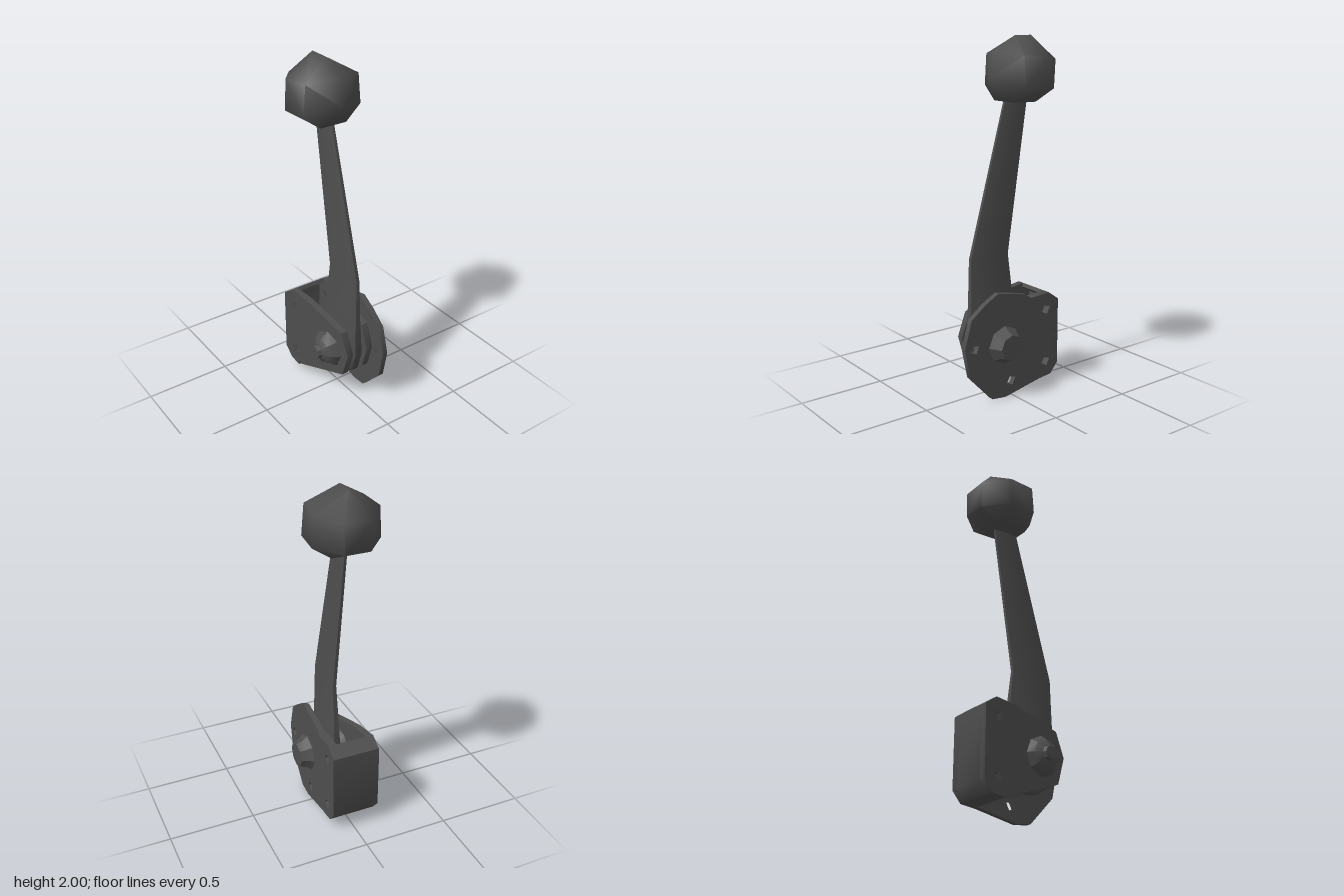
import * as THREE from 'three';
import { toCreasedNormals } from 'three/addons/utils/BufferGeometryUtils.js';
import { ConvexGeometry } from 'three/addons/geometries/ConvexGeometry.js';

const PIVOT = [0.055, 0.315];

export function createModel() {
  const group = new THREE.Group();
  const darkGrey = new THREE.MeshStandardMaterial({ color: 0x4e4e4e });
  darkGrey.name = 'darkGrey';

  const add = (name, geometry, crease = 0.7) => {
    const mesh = new THREE.Mesh(toCreasedNormals(geometry, crease), darkGrey);
    mesh.name = name;
    group.add(mesh);
    return mesh;
  };

  // Extruded plate with small square bolt holes; zAt(x) gives its rear face
  const plate = (name, outline, holes, depth, zAt) => {
    const shape = new THREE.Shape(outline.map(p => new THREE.Vector2(...p)));
    for (const [x, y] of holes) {
      const corners = [[-0.03, 0.015], [0.01, 0.025], [0.03, -0.01], [-0.01, -0.028]];
      shape.holes.push(new THREE.Path(corners.map(([a, b]) => new THREE.Vector2(x + a, y + b))));
    }
    const geometry = new THREE.ExtrudeGeometry(shape, { depth, bevelEnabled: false });
    const pos = geometry.attributes.position;
    for (let i = 0; i < pos.count; i++) pos.setZ(i, pos.getZ(i) + zAt(pos.getX(i)));
    return add(name, geometry);
  };

  // Faceted knob
  const knobPoints = [[-0.22, 2, 0], [-0.11, 2, 0], [0.03, 1.92, 0], [0.07, 1.77, 0]];
  for (const s of [1, -1]) {
    knobPoints.push(
      [-0.33, 1.87, 0.08 * s], [-0.2, 1.89, 0.18 * s], [-0.04, 1.9, 0.165 * s],
      [-0.33, 1.71, 0.07 * s], [-0.2, 1.72, 0.19 * s], [-0.04, 1.73, 0.18 * s],
      [-0.19, 1.645, 0.08 * s], [-0.03, 1.65, 0.08 * s]);
  }
  add('knob', new ConvexGeometry(knobPoints.map(p => new THREE.Vector3(...p))), 1.2);

  // Lever arm lofted through stations: y, left x, right x, half thickness
  const stations = [
    [0.14, 0.01, 0.1, 0.025], [0.19, -0.05, 0.18, 0.04], [0.32, -0.1, 0.215, 0.045],
    [0.55, -0.085, 0.205, 0.03], [0.8, -0.055, 0.2, 0.02], [1.67, -0.19, -0.04, 0.014],
  ];
  const rings = stations.map(([y, l, r, t]) => {
    const a = l + (r - l) * 0.22, b = r - (r - l) * 0.22;
    return [[l, t / 2], [a, t], [b, t], [r, t / 2], [r, -t / 2], [b, -t], [a, -t], [l, -t / 2]]
      .map(([x, z]) => [x, y, z]);
  });
  const verts = rings.flat(2), index = [], n = 8, last = (rings.length - 1) * n;
  for (let i = 0; i < rings.length - 1; i++) {
    for (let j = 0; j < n; j++) {
      const a = i * n + j, b = i * n + (j + 1) % n;
      index.push(a, b, b + n, a, b + n, a + n);
    }
  }
  for (let j = 1; j < n - 1; j++) {
    index.push(0, j + 1, j, last, last + j, last + j + 1);
  }
  const arm = new THREE.BufferGeometry();
  arm.setAttribute('position', new THREE.Float32BufferAttribute(verts, 3));
  arm.setIndex(index);
  add('leverArm', arm, 0.9);

  // Bracket cheeks, leaning towards the arm at the pivot end
  const cheek = [[-0.33, 0.12], [-0.28, 0.06], [-0.2, 0.05], [0.18, 0.19], [0.225, 0.34],
    [0.17, 0.475], [-0.13, 0.55], [-0.26, 0.56], [-0.33, 0.51]];
  const sideHoles = [[-0.24, 0.46], [-0.24, 0.145]];
  plate('frontCheek', cheek, sideHoles, 0.04, x => 0.11 - 0.116 * (x + 0.33));
  plate('innerCheek', cheek, sideHoles, 0.04, x => -0.128 + 0.07 * (x + 0.33));

  // Large round mounting plate at the back
  const mount = [[-0.33, 0.12], [-0.28, 0.06], [-0.2, 0.05], [0.05, 0], [0.14, 0.01],
    [0.29, 0.17], [0.325, 0.34], [0.28, 0.5], [0.19, 0.57], [0.1, 0.62], [-0.09, 0.58],
    [-0.13, 0.55], [-0.26, 0.56], [-0.33, 0.51]];
  plate('backPlate', mount, [...sideHoles, [0.26, 0.33], [0.01, 0.09]], 0.032,
    x => -0.13 + 0.012 * (x + 0.33));

  // Wall with chamfered corners joining the cheeks
  const wall = [[-0.26, 0.56], [-0.33, 0.51], [-0.33, 0.12], [-0.28, 0.06], [-0.2, 0.05],
    [-0.2, 0.07], [-0.27, 0.08], [-0.31, 0.13], [-0.31, 0.5], [-0.25, 0.54]];
  plate('bracketWall', wall, [], 0.275, () => -0.13);

  // Stepped hubs and pivot spacers: radius, z
  const turned = (name, profile, sides) => {
    const geometry = new THREE.LatheGeometry(profile.map(p => new THREE.Vector2(...p)), sides);
    geometry.rotateX(Math.PI / 2).translate(...PIVOT, 0);
    return add(name, geometry, 0.6);
  };
  turned('frontHub', [[0, 0.07], [0.12, 0.07], [0.115, 0.1], [0.08, 0.15], [0.042, 0.17], [0.036, 0.192], [0, 0.192]], 8);
  turned('backHub', [[0, -0.195], [0.075, -0.195], [0.085, -0.16], [0.11, -0.125], [0, -0.11]], 8);
  turned('pivotSpacer', [[0, -0.1], [0.15, -0.09], [0.12, -0.05], [0.12, 0.05], [0.15, 0.09], [0, 0.1]], 10);

  return group;
}
